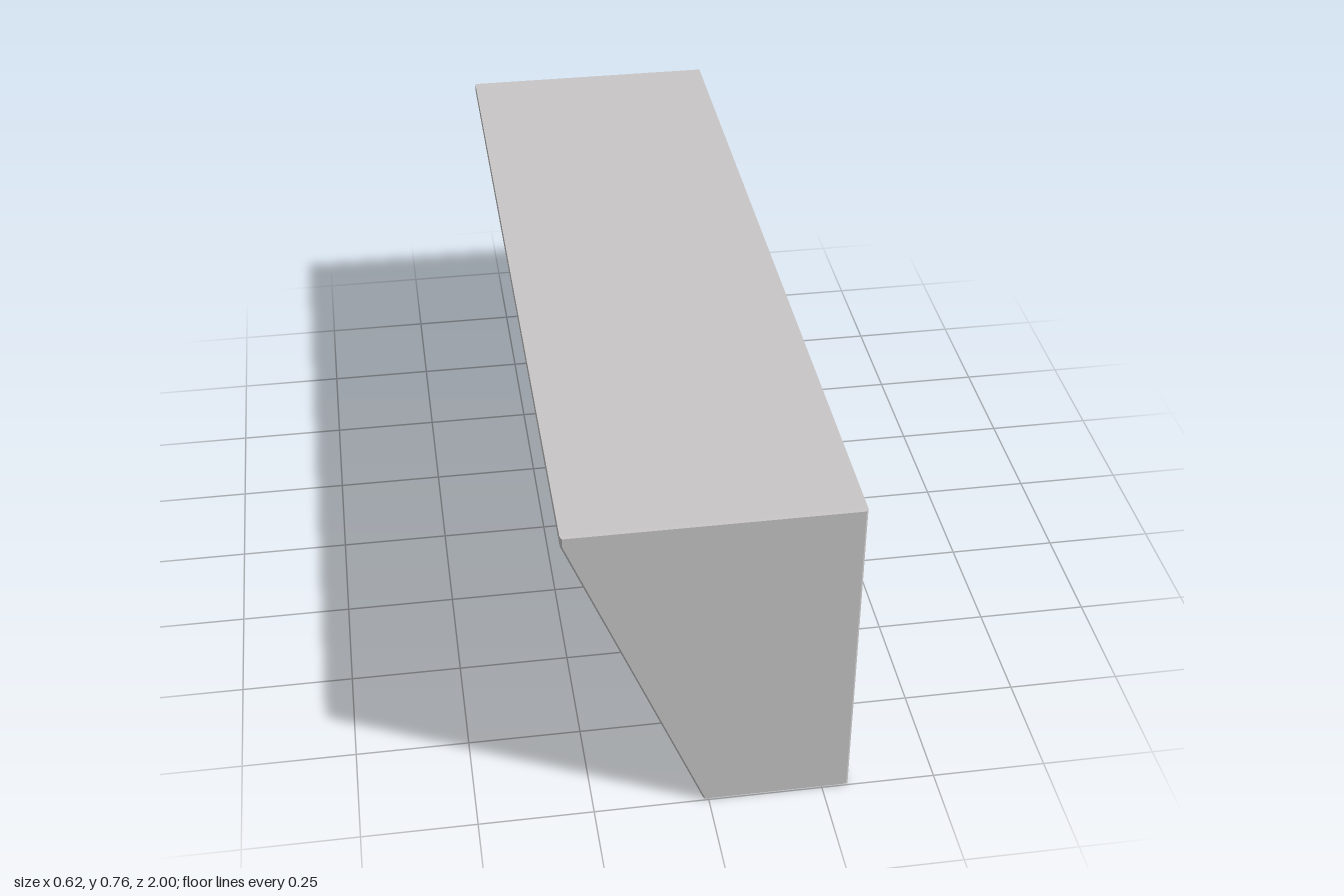
import * as THREE from 'three';

const HEIGHT = 0.757, HALF_W = 0.308, HALF_L = 1, BEVEL = 0.004;

// Flat plate: the outline is extruded along z from 0 to depth, with a fine chamfer
function plate(name, points, depth, material) {
  const shape = new THREE.Shape(points.map(([x, y]) => new THREE.Vector2(x, y)));
  const geometry = new THREE.ExtrudeGeometry(shape, {
    depth: depth - 2 * BEVEL,
    bevelEnabled: true,
    bevelThickness: BEVEL,
    bevelSize: BEVEL,
    bevelOffset: -BEVEL,
    bevelSegments: 1,
  });
  geometry.translate(0, 0, BEVEL);
  const mesh = new THREE.Mesh(geometry, material);
  mesh.name = name;
  return mesh;
}

export function createModel() {
  const grey = new THREE.MeshStandardMaterial({ color: 0xc8c6c7 });
  grey.name = 'light grey';
  const desk = new THREE.Group();
  desk.name = 'desk';

  // Tapered end panels
  const endOutline = [
    [-0.008, 0], [HALF_W, 0], [HALF_W, HEIGHT],
    [-HALF_W, HEIGHT], [-HALF_W, 0.733], [-0.012, 0.005],
  ];
  const endThickness = 0.034;
  const leftEnd = plate('endPanelFront', endOutline, endThickness, grey);
  leftEnd.position.z = HALF_L - endThickness;
  const rightEnd = plate('endPanelBack', endOutline, endThickness, grey);
  rightEnd.position.z = -HALF_L;
  desk.add(leftEnd, rightEnd);

  // Worktop, running between the end panels
  const topThickness = 0.024;
  const zIn = HALF_L - BEVEL;
  const top = plate('worktop', [
    [-HALF_W, HEIGHT - topThickness], [HALF_W, HEIGHT - topThickness],
    [HALF_W, HEIGHT], [-HALF_W, HEIGHT],
  ], 2 * zIn, grey);
  top.position.z = -zIn;
  desk.add(top);

  // Thin full-height panel closing the long side
  const panelThickness = 0.01;
  const panel = new THREE.Mesh(
    new THREE.BoxGeometry(panelThickness, HEIGHT - 2 * BEVEL, 2 * zIn), grey);
  panel.name = 'longPanel';
  panel.position.set(HALF_W - panelThickness / 2, HEIGHT / 2, 0);
  desk.add(panel);

  // Apron under the worktop, narrowing towards its lower edge
  const apron = plate('apron', [
    [-0.34, 0.5], [0.34, 0.5], [0.455, 0.74], [-0.455, 0.74],
  ], 0.034, grey);
  apron.rotation.y = Math.PI / 2;
  apron.position.x = -0.224;
  desk.add(apron);

  return desk;
}
